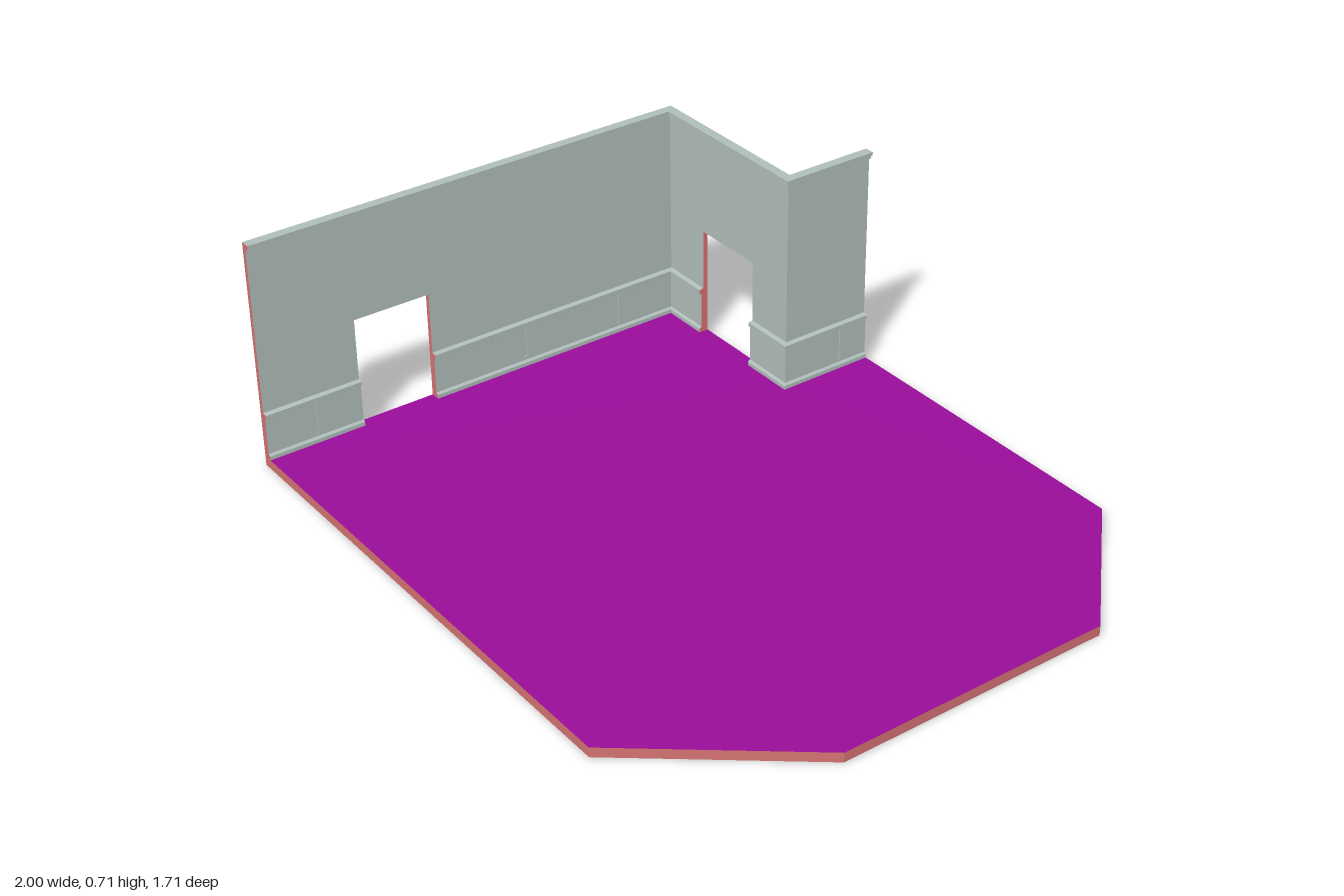
import * as THREE from 'three';

const paint = (color) => new THREE.MeshStandardMaterial({ color });
const plaster = paint(0xb0bebb);
const cut = paint(0xd47272);
const carpet = paint(0x990d99);
const underside = paint(0x2f4a3a);

// Wall cross-sections as [distance inward from the outer face, height]
const LOWER = [
  [0, 0.03], [0.03, 0.03], [0.03, 0.042], [0.023, 0.048], [0.023, 0.16], [0.03, 0.165],
  [0.03, 0.177], [0.015, 0.18], [0.015, 0.373], [0, 0.373],
];
const UPPER = [
  [0, 0.373], [0.015, 0.373], [0.015, 0.69], [0.023, 0.692], [0.023, 0.7],
  [0.03, 0.704], [0.03, 0.715], [0, 0.715],
];

// Stations along the wall: [outer x, outer z, inward x, inward z]
const frontEnd = [-1, 0.853, 1, 0];
const innerCorner = [-1, -0.573, 1, 1];
const outerCorner = [-0.43, -0.573, 1, 1];
const backEnd = [-0.43, -0.853, 1, 0];
const sideStation = (z) => [-1, z, 1, 0];
const backStation = (x) => [x, -0.573, 0, 1];

// Sweeps a cross-section along mitred stations; cut ends and the bottom edge get the second material
function sweepWall(name, profile, stations) {
  const grey = [], red = [];
  const at = (s, i) => {
    const [x, z, dx, dz] = stations[s], [d, y] = profile[i];
    return [x + dx * d, y, z + dz * d];
  };
  const n = profile.length;
  for (let s = 0; s < stations.length - 1; s++) {
    for (let i = 0; i < n; i++) {
      const j = (i + 1) % n;
      const a = at(s, i), b = at(s + 1, i), c = at(s + 1, j), d = at(s, j);
      (i === 0 ? red : grey).push(...a, ...b, ...c, ...a, ...c, ...d);
    }
  }
  const outline = profile.map(([d, y]) => new THREE.Vector2(d, y));
  const last = stations.length - 1;
  for (const [a, b, c] of THREE.ShapeUtils.triangulateShape(outline, [])) {
    red.push(...at(0, a), ...at(0, b), ...at(0, c));
    red.push(...at(last, a), ...at(last, c), ...at(last, b));
  }
  const geometry = new THREE.BufferGeometry();
  geometry.setAttribute('position', new THREE.Float32BufferAttribute(grey.concat(red), 3));
  geometry.addGroup(0, grey.length / 3, 0);
  geometry.addGroup(grey.length / 3, red.length / 3, 1);
  geometry.computeVertexNormals();
  const mesh = new THREE.Mesh(geometry, [plaster, cut]);
  mesh.name = name;
  return mesh;
}

// Floor slab with clipped corners and a notch at the back
function makeFloor() {
  const outline = [
    [-1, 0.853], [0.615, 0.853], [1, 0.373], [1, -0.475], [0.615, -0.853],
    [-0.43, -0.853], [-0.43, -0.573], [-1, -0.573],
  ];
  const shape = new THREE.Shape(outline.map(([x, z]) => new THREE.Vector2(x, -z)));
  const geometry = new THREE.ExtrudeGeometry(shape, { depth: 0.03, bevelEnabled: false });
  geometry.rotateX(-Math.PI / 2);
  const [caps, sides] = geometry.groups;
  geometry.clearGroups();
  geometry.addGroup(0, caps.count / 2, 0);
  geometry.addGroup(caps.count / 2, caps.count / 2, 1);
  geometry.addGroup(sides.start, sides.count, 2);
  const mesh = new THREE.Mesh(geometry, [underside, carpet, cut]);
  mesh.name = 'floor';
  return mesh;
}

// Thin upright strip with a small foot on the wainscot
function makeBatten(x, z) {
  const group = new THREE.Group();
  group.name = 'wainscotBatten';
  const strip = new THREE.Mesh(new THREE.BoxGeometry(0.006, 0.108, 0.005), plaster);
  strip.name = 'strip';
  strip.position.set(0, 0.112, 0);
  const foot = new THREE.Mesh(new THREE.BoxGeometry(0.006, 0.005, 0.01), plaster);
  foot.name = 'foot';
  foot.position.set(0, 0.06, 0.004);
  group.add(strip, foot);
  group.position.set(x + 0.024, 0, z);
  return group;
}

export function createModel() {
  const model = new THREE.Group();
  model.name = 'roomCorner';
  model.add(makeFloor());

  // Upper wall runs unbroken above both doorways; the lower wall stops at them
  model.add(sweepWall('upperWall', UPPER, [frontEnd, innerCorner, outerCorner, backEnd]));
  model.add(sweepWall('lowerWallFront', LOWER, [frontEnd, sideStation(0.545)]));
  model.add(sweepWall('lowerWallCorner', LOWER, [sideStation(0.3), innerCorner, backStation(-0.82)]));
  model.add(sweepWall('lowerWallBack', LOWER, [backStation(-0.577), outerCorner, backEnd]));

  for (const z of [0.69, -0.018, -0.352]) model.add(makeBatten(-1, z));
  model.add(makeBatten(-0.43, -0.755));
  return model;
}
